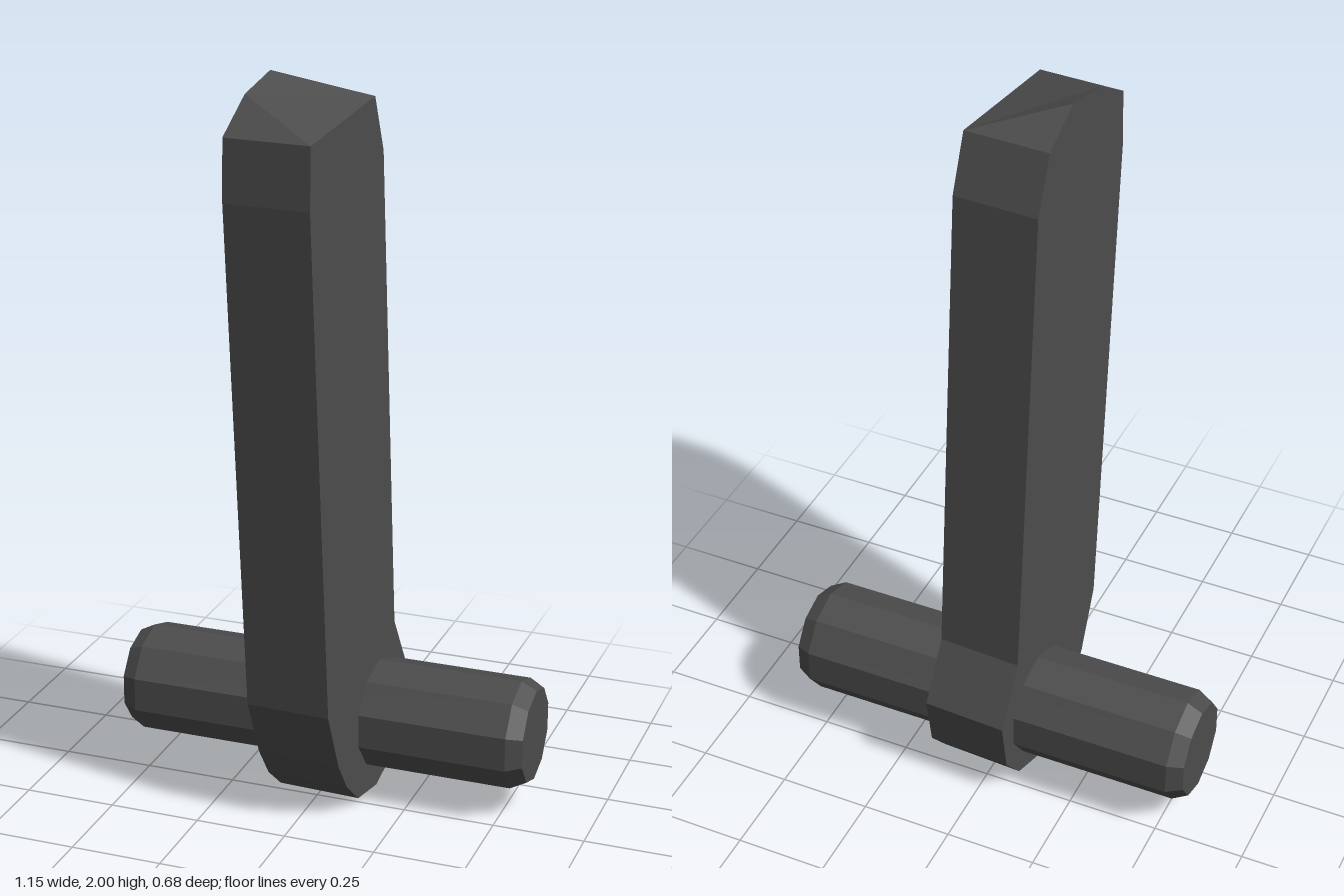
import * as THREE from 'three';

const darkGrey = new THREE.MeshStandardMaterial({ color: 0x4c4c4c, flatShading: true });
darkGrey.name = 'darkGrey';

// Slab outline as [z, y], counter-clockwise seen from +x, below the slanted top
const sideOutline = [
  [0.335, 1.73], [0.22, 0.35], [0.15, 0.18], [0.09, 0.09], [0.01, 0.02], [-0.12, 0],
  [-0.235, 0.04], [-0.31, 0.13], [-0.334, 0.28], [-0.243, 0.44], [-0.132, 1.78],
];
// The top is rounded on the right and cut low on the left, so corners there repeat
const topRight = [[-0.073, 1.93], [0.05, 2], [0.2, 1.97], [0.33, 1.89]];
const topLeft = [[-0.073, 1.93], [-0.073, 1.93], [0.33, 1.89], [0.33, 1.89]];

function slabGeometry(halfWidth) {
  const place = (points, x) => points.map(([z, y]) => new THREE.Vector3(x, y, z));
  const a = place([...topLeft, ...sideOutline], halfWidth);
  const b = place([...topRight, ...sideOutline], -halfWidth);
  const centreA = new THREE.Vector3(halfWidth, 0.7, 0);
  const centreB = new THREE.Vector3(-halfWidth, 0.7, 0);
  const positions = [];
  const tri = (p, q, r) => {
    if (p.equals(q) || q.equals(r) || r.equals(p)) return;
    for (const v of [p, q, r]) positions.push(v.x, v.y, v.z);
  };
  for (let i = 0; i < a.length; i++) {
    const j = (i + 1) % a.length;
    tri(centreA, a[i], a[j]); // left side
    tri(centreB, b[j], b[i]); // right side
    tri(a[i], b[i], b[j]); // rim
    tri(a[i], b[j], a[j]);
  }
  const geometry = new THREE.BufferGeometry();
  geometry.setAttribute('position', new THREE.Float32BufferAttribute(positions, 3));
  geometry.computeVertexNormals();
  return geometry;
}

export function createModel() {
  const model = new THREE.Group();
  model.name = 'leverOnAxle';

  // Upright lever, turned slightly on the axle
  const lever = new THREE.Mesh(slabGeometry(0.115), darkGrey);
  lever.name = 'lever';
  lever.position.x = 0.01;
  lever.rotation.y = -0.05;
  model.add(lever);

  // Ten-sided axle with chamfered ends
  const profile = [[0, -0.574], [0.13, -0.574], [0.152, -0.532], [0.152, 0.532], [0.13, 0.574], [0, 0.574]]
    .map(([r, y]) => new THREE.Vector2(r, y));
  const axle = new THREE.Mesh(new THREE.LatheGeometry(profile, 10, Math.PI / 2), darkGrey);
  axle.name = 'axle';
  axle.rotation.z = -Math.PI / 2;
  axle.position.set(0, 0.22, -0.128);
  model.add(axle);

  return model;
}
